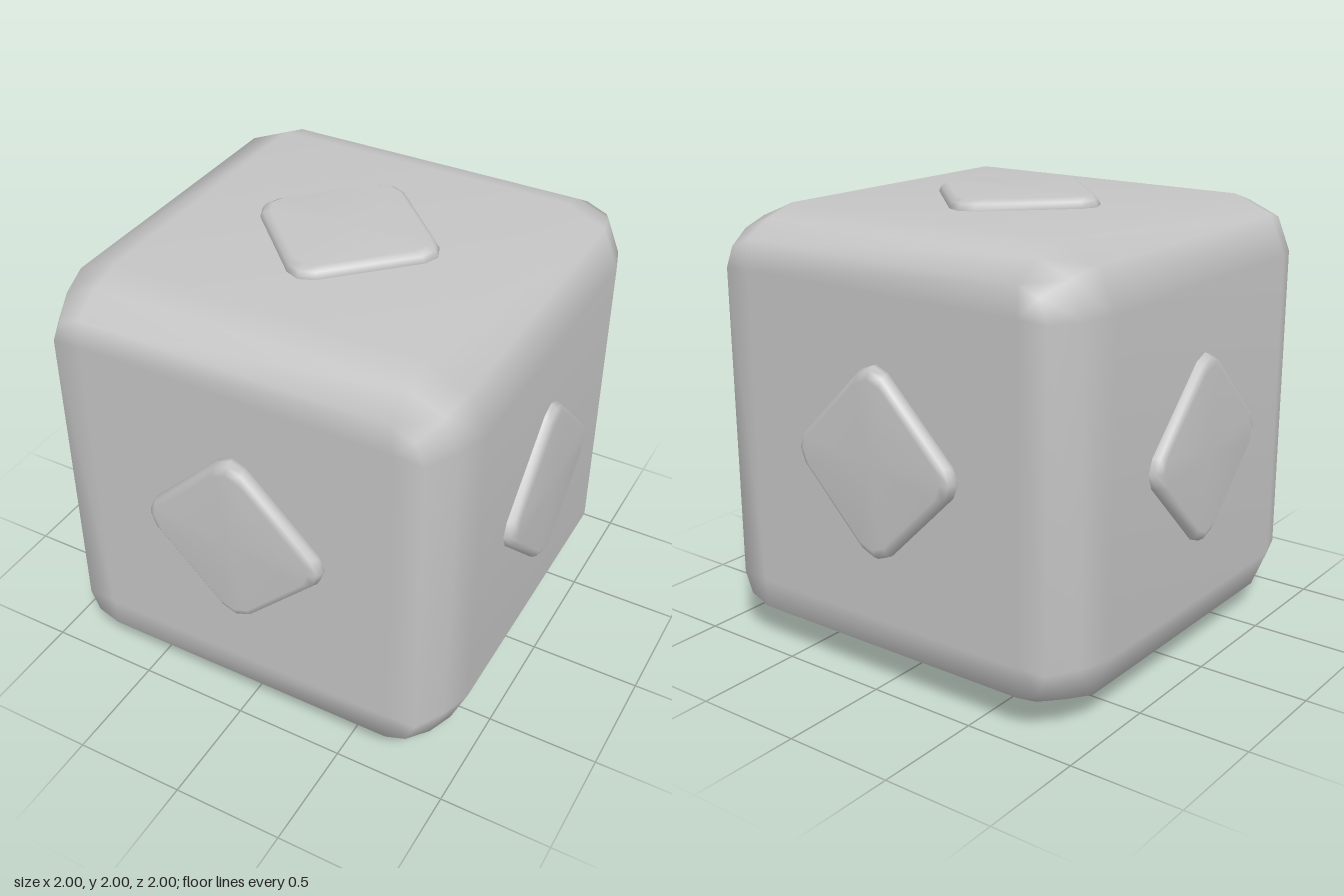
import * as THREE from 'three';

const grey = new THREE.MeshStandardMaterial({ color: 0xc4c4c4 });
grey.name = 'plain grey';

// Smooth skin over stacked rings of [x, y, z] (counter-clockwise, rising z), closed at both ends
function loft(rings) {
  const n = rings[0].length, last = rings.length - 1;
  const pos = rings.flat(2), index = [];
  for (let r = 0; r < last; r++) {
    for (let i = 0; i < n; i++) {
      const a = r * n + i, b = r * n + (i + 1) % n;
      index.push(a, b, b + n, a, b + n, a + n);
    }
  }
  const bottom = rings.length * n, top = bottom + 1;
  pos.push(0, 0, rings[0][0][2], 0, 0, rings[last][0][2]);
  for (let i = 0; i < n; i++) {
    const j = (i + 1) % n;
    index.push(bottom, j, i, top, last * n + i, last * n + j);
  }
  const geo = new THREE.BufferGeometry();
  geo.setAttribute('position', new THREE.Float32BufferAttribute(pos, 3));
  geo.setIndex(index);
  geo.computeVertexNormals();
  return geo;
}

// Square ring whose corners are two-segment arcs around (core, core)
function roundedSquare(half, z) {
  const core = 0.7, ring = [];
  for (let q = 0; q < 4; q++) {
    const cx = core * (q === 0 || q === 3 ? 1 : -1);
    const cy = core * (q < 2 ? 1 : -1);
    for (let s = 0; s < 3; s++) {
      const a = (q + s / 2) * Math.PI / 2;
      ring.push([cx + (half - core) * Math.cos(a), cy + (half - core) * Math.sin(a), z]);
    }
  }
  return ring;
}

// Diamond ring with blunted tips
function diamond(tip, z) {
  const ring = [], side = tip - 0.026;
  for (let q = 0; q < 4; q++) {
    const c = Math.round(Math.cos(q * Math.PI / 2)), s = Math.round(Math.sin(q * Math.PI / 2));
    for (const [u, v] of [[side, -0.065], [tip, 0], [side, 0.065]]) {
      ring.push([u * c - v * s, u * s + v * c, z]);
    }
  }
  return ring;
}

export function createModel() {
  const model = new THREE.Group();
  model.name = 'studdedCube';

  // Cube body with soft bevelled edges
  const levels = [[0.705, -0.94], [0.835, -0.94], [0.91, -0.81], [0.955, -0.67],
    [0.955, 0.67], [0.91, 0.81], [0.835, 0.94], [0.705, 0.94]];
  const body = new THREE.Mesh(loft(levels.map(([h, z]) => roundedSquare(h, z))), grey);
  body.name = 'cubeBody';
  body.position.y = 1;
  model.add(body);

  // One raised diamond on each of the six faces
  const studGeo = loft([[0.415, 0.9], [0.415, 0.96], [0.4, 0.983], [0.365, 1]]
    .map(([t, z]) => diamond(t, z)));
  const H = Math.PI / 2;
  const faces = { front: [0, 0], back: [0, 2 * H], left: [0, H], right: [0, -H], top: [-H, 0], bottom: [H, 0] };
  for (const [face, [rx, ry]] of Object.entries(faces)) {
    const stud = new THREE.Mesh(studGeo, grey);
    stud.name = face + 'Diamond';
    stud.rotation.set(rx, ry, 0);
    stud.position.y = 1;
    model.add(stud);
  }
  return model;
}
